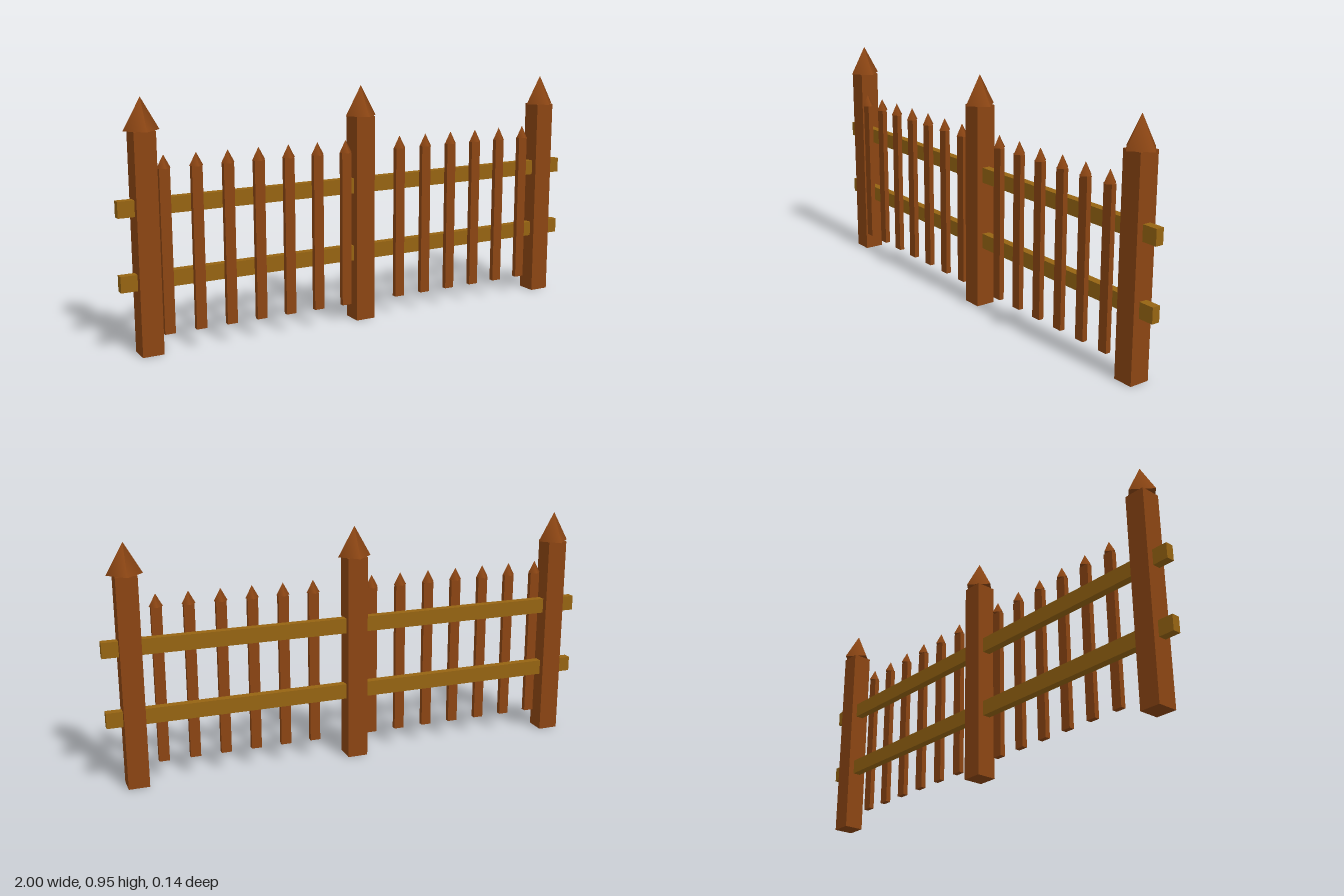
import * as THREE from 'three';

export function createModel() {
  const group = new THREE.Group();
  const darkWood = new THREE.MeshStandardMaterial({ color: 0x8b4513 });
  darkWood.name = 'reddish brown wood';
  const railWood = new THREE.MeshStandardMaterial({ color: 0x966412 });
  railWood.name = 'golden brown wood';

  const add = (parent, name, geometry, material, x, y, z) => {
    const mesh = new THREE.Mesh(geometry, material);
    mesh.name = name;
    mesh.position.set(x, y, z);
    parent.add(mesh);
  };

  // An upright board with a four-sided pointed cap, turned corner-forward
  const addUpright = (name, x, z, width, depth, bottom, shoulder, tip, capRadius) => {
    const upright = new THREE.Group();
    upright.name = name;
    upright.position.set(x, 0, z);
    const height = shoulder - bottom;
    add(upright, name + 'Shaft', new THREE.BoxGeometry(width, height, depth), darkWood, 0, bottom + height / 2, 0);
    add(upright, name + 'Cap', new THREE.ConeGeometry(capRadius, tip - shoulder, 4), darkWood, 0, (shoulder + tip) / 2, 0);
    group.add(upright);
  };

  // Three main posts
  for (const x of [-0.896, 0, 0.896]) addUpright('post', x, 0, 0.082, 0.082, 0, 0.83, 0.95, 0.068);

  // Evenly spaced pickets on the front of the rails, leaving out the one at the middle post
  for (let i = 0; i < 14; i++) {
    if (i === 7) continue;
    addUpright('picket', -0.828 + i * 0.124, 0.027, 0.041, 0.021, 0.073, 0.692, 0.742, 0.027);
  }

  // Two horizontal rails running through the posts
  for (const y of [0.278, 0.553]) add(group, 'rail', new THREE.BoxGeometry(2, 0.061, 0.033), railWood, 0, y, 0);

  return group;
}
